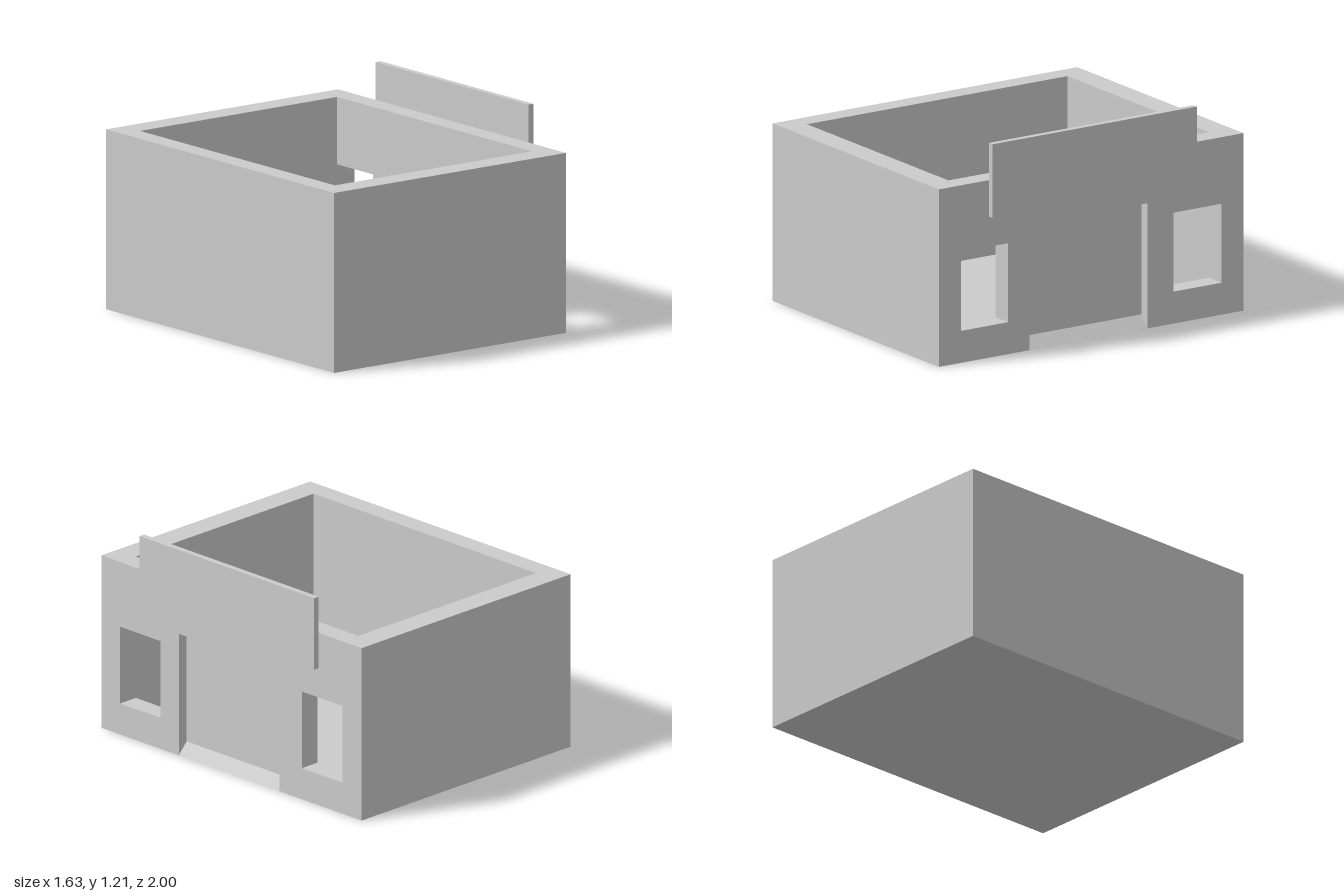
import * as THREE from 'three';

const material = new THREE.MeshStandardMaterial({ color: 0xcccccc });
const BACK = -0.82, FACADE = 0.78, HALF = 1, HEIGHT = 1;
const INNER_BACK = -0.7, INNER_FACADE = 0.66, INNER_HALF = 0.855;
const RECESS = 0.06, FLOOR = 0.07;
const DOOR = { z0: -0.37, z1: 0.405, top: 0.705 };

const polygon = (points) => new THREE.Shape(points.map(([a, b]) => new THREE.Vector2(a, b)));
const rectangle = (a0, b0, a1, b1) => [[a0, b0], [a1, b0], [a1, b1], [a0, b1]];

function extrude(points, depth, holes = []) {
  const shape = polygon(points);
  for (const hole of holes) shape.holes.push(polygon(hole));
  return new THREE.ExtrudeGeometry(shape, { depth, bevelEnabled: false });
}

export function createModel() {
  const group = new THREE.Group();
  const add = (name, geometry) => {
    const mesh = new THREE.Mesh(geometry, material);
    mesh.name = name;
    group.add(mesh);
  };
  const addBox = (name, x0, x1, y0, y1, z0, z1) =>
    add(name, new THREE.BoxGeometry(x1 - x0, y1 - y0, z1 - z0)
      .translate((x0 + x1) / 2, (y0 + y1) / 2, (z0 + z1) / 2));

  // Three plain walls as one U-shaped footprint, open at the top
  add('plainWalls', extrude([
    [INNER_FACADE, -HALF], [INNER_FACADE, -INNER_HALF], [INNER_BACK, -INNER_HALF],
    [INNER_BACK, INNER_HALF], [INNER_FACADE, INNER_HALF], [INNER_FACADE, HALF],
    [BACK, HALF], [BACK, -HALF],
  ], HEIGHT).rotateX(-Math.PI / 2));

  addBox('floor', INNER_BACK, INNER_FACADE, 0, FLOOR, -INNER_HALF, INNER_HALF);

  // Facade profiles lie in z and y; both layers share the window openings
  const windows = [
    rectangle(0.545, 0.18, INNER_HALF, 0.625),
    rectangle(-INNER_HALF, 0.18, -0.54, 0.625),
  ];
  const facadeLayer = (points, outerX, thickness) =>
    extrude(points, thickness, windows).rotateY(-Math.PI / 2).translate(outerX, 0, 0);

  // Outer layer is cut away at the doorway, inner layer closes it
  add('facadeOuter', facadeLayer([
    [-HALF, 0], [DOOR.z0, 0], [DOOR.z0, DOOR.top], [DOOR.z1, DOOR.top],
    [DOOR.z1, 0], [HALF, 0], [HALF, HEIGHT], [-HALF, HEIGHT],
  ], FACADE, RECESS));
  add('facadeInner', facadeLayer(
    rectangle(-HALF, 0, HALF, HEIGHT), FACADE - RECESS, FACADE - RECESS - INNER_FACADE));

  // Sloped threshold inside the doorway
  add('doorRamp', extrude(
    [[FACADE - RECESS, 0], [FACADE, 0], [FACADE - RECESS, 0.065]], DOOR.z1 - DOOR.z0)
    .translate(0, 0, DOOR.z0));

  // Sign board mounted above the door
  addBox('signBoard', FACADE, 0.815, 0.795, 1.21, -0.67, 0.67);

  return group;
}
